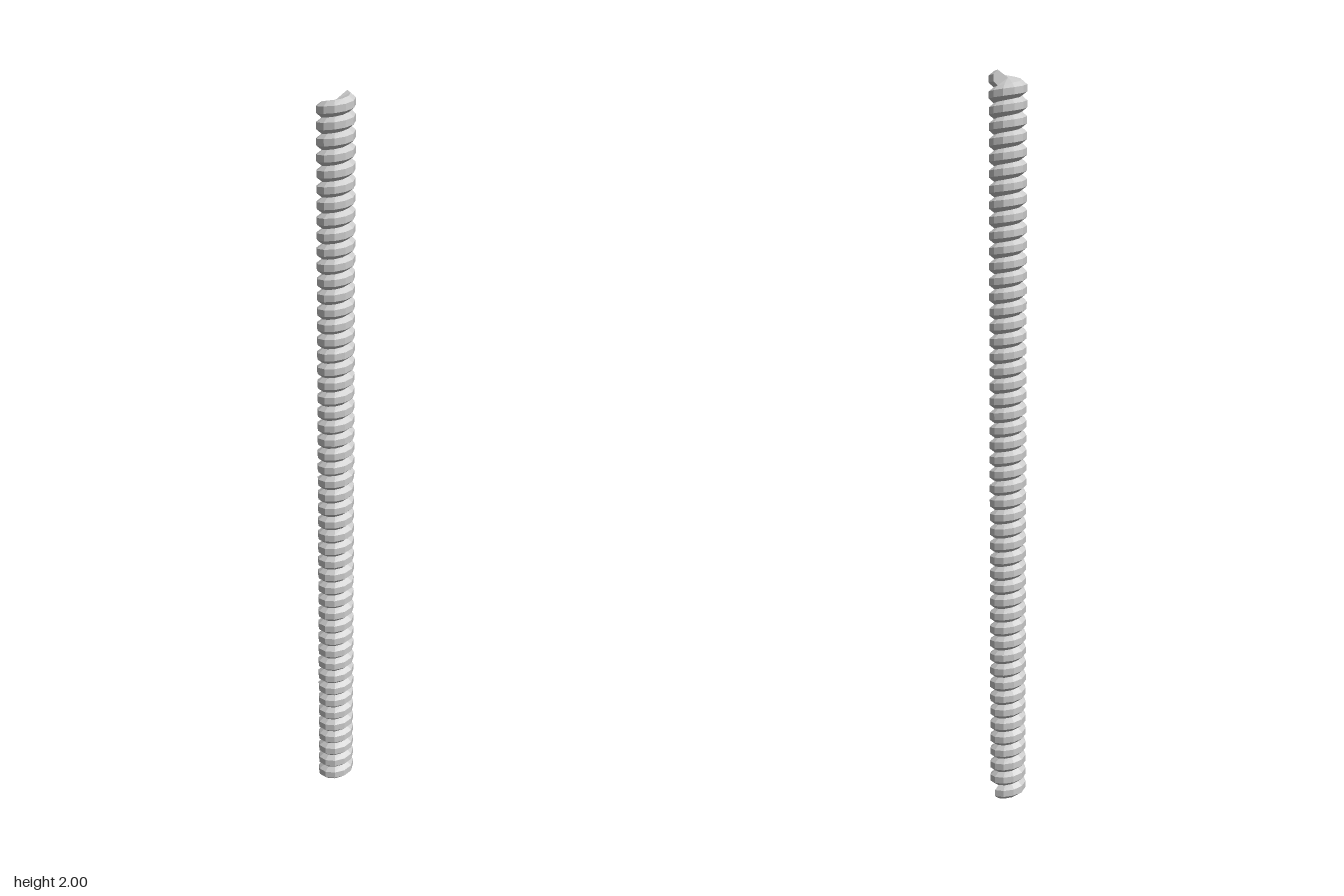
import * as THREE from 'three';

const SIDES = 11;          // segments per turn
const TURNS = 49;
const PITCH = 0.04;
const ROOT = 0.036;
const CREST = 0.05;
// thread profile, one pitch high: [radius, height]
const PROFILE = [[ROOT, 0], [CREST, 0.011], [CREST, 0.029], [ROOT, PITCH]];

// point on the helix swept by a profile corner; step 0 sits at the back
function helixPoint(step, [r, h]) {
  const a = (step / SIDES) * Math.PI * 2;
  return [-r * Math.sin(a), h + (step / SIDES) * PITCH, -r * Math.cos(a)];
}

function makeMesh(name, points, index, material) {
  const geometry = new THREE.BufferGeometry();
  geometry.setAttribute('position', new THREE.Float32BufferAttribute(points.flat(), 3));
  geometry.setIndex(index);
  geometry.computeVertexNormals();
  const mesh = new THREE.Mesh(geometry, material);
  mesh.name = name;
  return mesh;
}

// the profile swept along the helix, with both cut ends closed
function makeThread(material) {
  const points = [], index = [];
  const steps = SIDES * TURNS, n = PROFILE.length;
  for (let i = 0; i <= steps; i++) {
    for (const corner of PROFILE) points.push(helixPoint(i, corner));
  }
  for (let i = 0; i < steps; i++) {
    for (let k = 0; k < n - 1; k++) {
      const a = i * n + k, b = a + n;
      index.push(a, b, b + 1, a, b + 1, a + 1);
    }
  }
  const e = steps * n;
  index.push(0, 1, 2, 0, 2, 3, e, e + 2, e + 1, e, e + 3, e + 2);
  return makeMesh('thread', points, index, material);
}

// fan over one turn of the root edge, closing an end of the rod
function makeCap(name, firstStep, corner, up, material) {
  const points = [], index = [];
  for (let i = 0; i <= SIDES; i++) points.push(helixPoint(firstStep + i, corner));
  const centre = points.length;
  points.push([0, (points[0][1] + points[SIDES][1]) / 2, 0]);
  for (let i = 0; i <= SIDES; i++) {
    const j = (i + 1) % (SIDES + 1);
    if (up) index.push(centre, i, j);
    else index.push(centre, j, i);
  }
  return makeMesh(name, points, index, material);
}

export function createModel() {
  const group = new THREE.Group();
  group.name = 'threadedRod';
  const material = new THREE.MeshStandardMaterial({
    color: 0xcccccc, flatShading: true, side: THREE.DoubleSide,
  });
  group.add(
    makeThread(material),
    makeCap('topCap', SIDES * (TURNS - 1), PROFILE[3], true, material),
    makeCap('bottomCap', 0, PROFILE[0], false, material),
  );
  return group;
}
